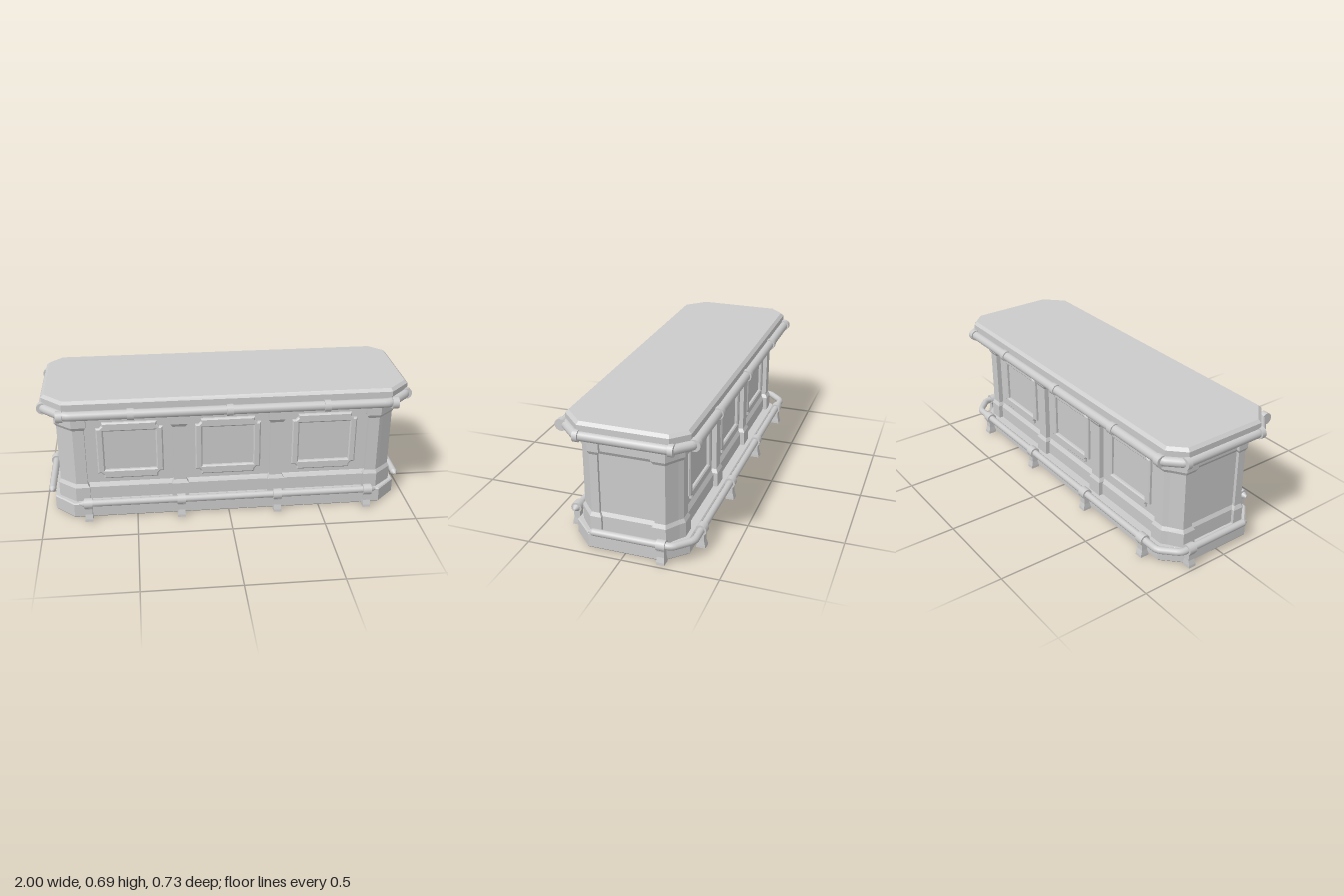
import * as THREE from 'three';

const material = new THREE.MeshStandardMaterial({ color: 0xcccccc });

function add(parent, name, geometry) {
  const mesh = new THREE.Mesh(geometry, material);
  mesh.name = name;
  parent.add(mesh);
  return mesh;
}

// Flat-shaded stack of plan outlines: levels are [y, [[x, z], ...]] from the bottom up
function loft(levels) {
  const pos = [];
  const rings = levels.map(([y, pts]) => {
    let area = 0;
    pts.forEach((p, i) => {
      const q = pts[(i + 1) % pts.length];
      area += p[0] * q[1] - q[0] * p[1];
    });
    return (area > 0 ? pts : [...pts].reverse()).map(([x, z]) => [x, y, z]);
  });
  const n = rings[0].length;
  const centre = (r) => [0, 1, 2].map((k) => r.reduce((s, p) => s + p[k], 0) / n);
  const last = rings[rings.length - 1];
  const c0 = centre(rings[0]), c1 = centre(last);
  for (let i = 0; i < n; i++) {
    const j = (i + 1) % n;
    for (let k = 0; k < rings.length - 1; k++) {
      const a = rings[k], b = rings[k + 1];
      pos.push(...a[i], ...b[i], ...a[j], ...a[j], ...b[i], ...b[j]);
    }
    pos.push(...c0, ...rings[0][i], ...rings[0][j], ...c1, ...last[j], ...last[i]);
  }
  const g = new THREE.BufferGeometry();
  g.setAttribute('position', new THREE.Float32BufferAttribute(pos, 3));
  g.computeVertexNormals();
  return g;
}

// Rectangle with cut corners; the front and back cuts differ
const octagon = (x, zf, zb, cf, cb) => [
  [x, -zb + cb], [x, zf - cf], [x - cf, zf], [-x + cf, zf],
  [-x, zf - cf], [-x, -zb + cb], [-x + cb, -zb], [x - cb, -zb],
];
const rect = (x0, x1, z0, z1) => [[x0, z0], [x1, z0], [x1, z1], [x0, z1]];

// Flared foot and head shared by the pilasters and the side walls
const flared = (outline) => loft([
  [0.08, outline(0.011)], [0.165, outline(0.011)], [0.185, outline(0)],
  [0.503, outline(0)], [0.522, outline(0.011)], [0.61, outline(0.011)],
]);

// Path through [x, z] points at height y with softened bends
function softPath(points, y, closed, soft = 0.025) {
  const v = points.map(([x, z]) => new THREE.Vector3(x, y, z));
  const n = v.length;
  const path = new THREE.CurvePath();
  const toward = (a, b) => a.clone().add(b.clone().sub(a).setLength(soft));
  let start = closed ? toward(v[0], v[1]) : v[0];
  for (let i = 1; i < (closed ? n + 1 : n); i++) {
    const p = v[i % n];
    if (!closed && i === n - 1) {
      path.add(new THREE.LineCurve3(start, p));
      break;
    }
    const before = toward(p, v[(i - 1) % n]), after = toward(p, v[(i + 1) % n]);
    path.add(new THREE.LineCurve3(start, before));
    path.add(new THREE.QuadraticBezierCurve3(before, p, after));
    start = after;
  }
  return path;
}

// Ring clamped around a rail running along x or z
function collar(parent, x, y, z, axis, radius, length) {
  const g = new THREE.CylinderGeometry(radius, radius, length, 16);
  if (axis === 'x') g.rotateZ(Math.PI / 2);
  else g.rotateX(Math.PI / 2);
  add(parent, 'collar', g).position.set(x, y, z);
}

// Foot rail bracket with a spreading foot
function footPost(parent, x, z, axis) {
  const post = new THREE.Group();
  post.name = 'footRailPost';
  const ring = (along, across) => axis === 'x'
    ? rect(-along, along, -across, across) : rect(-across, across, -along, along);
  add(post, 'bracket', loft([
    [0.005, ring(0.021, 0.024)], [0.018, ring(0.021, 0.023)], [0.045, ring(0.019, 0.016)],
    [0.075, ring(0.019, 0.016)], [0.105, ring(0.021, 0.022)],
  ]));
  collar(post, 0, 0.105, 0, axis, 0.029, 0.045);
  post.position.set(x, 0, z);
  parent.add(post);
}

// Square-notched outline for the panel frames
function notched(w, h, c, Type) {
  const s = new Type();
  const quarter = [[w, h - c], [w - c * 0.45, h - c], [w - c, h - c * 0.45], [w - c, h]];
  const flipX = (q) => q.map(([x, y]) => [-x, y]).reverse();
  const top = [...quarter, ...flipX(quarter)];
  const all = [...top, ...top.map(([x, y]) => [-x, -y])];
  s.setFromPoints(all.map(([x, y]) => new THREE.Vector2(x, y)));
  return s;
}

function framedPanel() {
  const panel = new THREE.Group();
  panel.name = 'framedPanel';
  const shape = notched(0.17, 0.158, 0.032, THREE.Shape);
  shape.holes.push(new THREE.Path().setFromPoints(
    [[-0.145, -0.122], [-0.145, 0.122], [0.145, 0.122], [0.145, -0.122]]
      .map(([x, y]) => new THREE.Vector2(x, y))));
  add(panel, 'panelFrame', new THREE.ExtrudeGeometry(shape, {
    depth: 0.012, bevelThickness: 0.006, bevelSize: 0.007, bevelSegments: 1,
  }));
  return panel;
}

export function createModel() {
  const model = new THREE.Group();
  model.name = 'counter';

  // Plinth and worktop
  const base = (o) => octagon(0.945 - o, 0.3 - o, 0.3 - o, 0.105 - o * 0.6, 0.105 - o * 0.6);
  add(model, 'base', loft([[0, base(0.005)], [0.006, base(0)], [0.079, base(0)], [0.085, base(0.006)]]));
  const top = (o) => octagon(0.973 - o, 0.322 - o, 0.325 - o, 0.11 - o * 0.6, 0.08 - o * 0.6);
  add(model, 'worktop', loft([[0.6, top(0.004)], [0.655, top(0.004)], [0.656, top(0)],
    [0.68, top(0)], [0.695, top(0.016)]]));

  // Cabinet core and the side walls
  add(model, 'cabinetCore', loft([0.08, 0.61].map((y) => [y, octagon(0.885, 0.235, 0.235, 0.08, 0.08)])));
  for (const s of [1, -1]) {
    add(model, 'sideWall', flared((o) => rect(s * 0.8, s * (0.892 + o), -0.15, 0.15)));
  }

  for (const f of [1, -1]) {
    // Skirting along the foot of the front and back walls
    add(model, 'skirting', loft([
      [0.08, rect(-0.78, 0.78, f * 0.2, f * 0.249)], [0.155, rect(-0.78, 0.78, f * 0.2, f * 0.249)],
      [0.178, rect(-0.78, 0.78, f * 0.2, f * 0.235)],
    ]));
    // Corner and intermediate pilasters
    for (const s of [1, -1]) {
      const zSide = f > 0 ? 0.186 : 0.2;
      add(model, 'cornerPilaster', flared((o) => [
        [0.762 - o, 0.12], [0.762 - o, 0.262 + o], [0.822 + o * 0.4, 0.262 + o],
        [0.845 + o * 0.7, 0.243 + o * 0.7], [0.909 + o, zSide + o * 0.4], [0.909 + o, 0.143 - o],
        [0.85, 0.143 - o],
      ].map(([x, z]) => [s * x, f * z])));
      add(model, 'pilaster', flared((o) =>
        rect(s * 0.262 - 0.034 - o, s * 0.262 + 0.034 + o, f * 0.2, f * (0.262 + o))));
    }
    // Three framed panels
    for (const x of [-0.525, 0, 0.525]) {
      const panel = framedPanel();
      panel.position.set(x, 0.371, f * 0.236);
      if (f < 0) panel.rotation.y = Math.PI;
      model.add(panel);
    }
  }

  // Hand rail around the worktop
  const handRail = new THREE.Group();
  handRail.name = 'handRail';
  model.add(handRail);
  const railLine = octagon(0.966, 0.335, 0.335, 0.115, 0.085);
  add(handRail, 'handRailTube', new THREE.TubeGeometry(softPath(railLine, 0.623, true), 240, 0.025, 14, true));
  for (const z of [0.336, -0.336]) {
    for (const x of [-0.875, -0.513, 0, 0.513, 0.875]) collar(handRail, x, 0.623, z, 'x', 0.031, 0.034);
  }
  for (const x of [0.968, -0.968]) {
    for (const z of [0.215, -0.255]) collar(handRail, x, 0.623, z, 'z', 0.031, 0.026);
  }

  // Foot rails: straight in front, wrapping round the sides at the back
  const footRail = new THREE.Group();
  footRail.name = 'footRail';
  model.add(footRail);
  const y = 0.105, r = 0.019;
  const frontPath = new THREE.LineCurve3(new THREE.Vector3(-0.785, y, 0.335), new THREE.Vector3(0.785, y, 0.335));
  add(footRail, 'frontFootRail', new THREE.TubeGeometry(frontPath, 1, r, 14));
  const backLine = [[0.962, 0.16], [0.962, -0.25], [0.875, -0.335], [-0.875, -0.335], [-0.962, -0.25], [-0.962, 0.16]];
  add(footRail, 'backFootRail', new THREE.TubeGeometry(softPath(backLine, y, false), 200, r, 14));
  for (const s of [1, -1]) {
    // Pointed rail ends
    const tip = add(footRail, 'railTip', new THREE.CylinderGeometry(0.006, r, 0.024, 14));
    tip.position.set(s * 0.797, y, 0.335);
    tip.rotation.z = -s * Math.PI / 2;
    const sideTip = add(footRail, 'railTip', new THREE.CylinderGeometry(0.006, r, 0.024, 14));
    sideTip.position.set(s * 0.962, y, 0.172);
    sideTip.rotation.x = Math.PI / 2;
    for (const x of [0.76, 0.262]) {
      footPost(footRail, s * x, 0.335, 'x');
      footPost(footRail, s * x, -0.335, 'x');
    }
    footPost(footRail, s * 0.962, -0.198, 'z');
  }
  return model;
}
